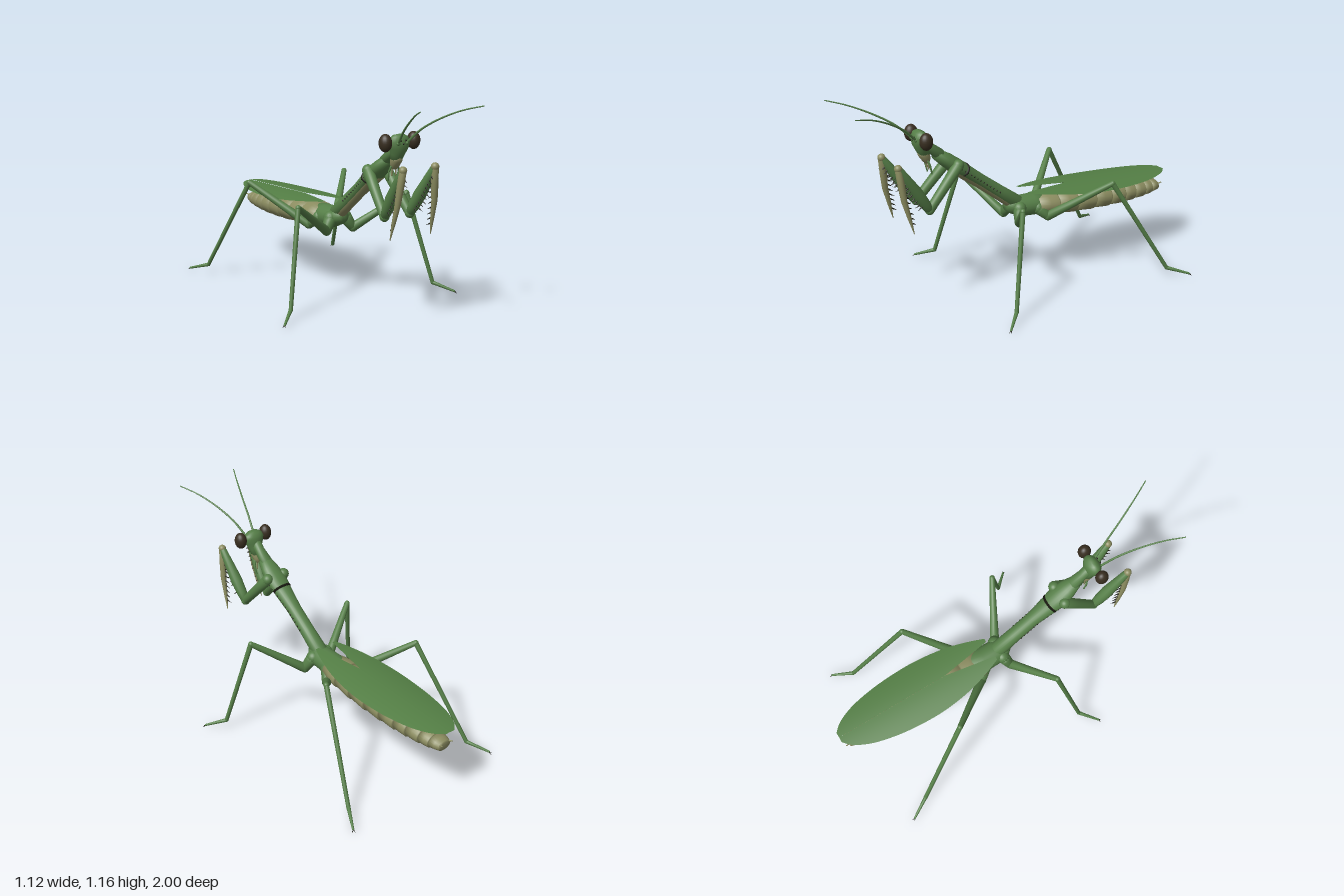
import * as THREE from 'three';

const mat = (name, color, side = THREE.FrontSide) => {
  const m = new THREE.MeshStandardMaterial({ color, side });
  m.name = name;
  return m;
};
const V = (x, y, z) => new THREE.Vector3(x, y, z);

export function createModel() {
  const root = new THREE.Group();
  root.name = 'mantis';
  const green = mat('leaf green', 0x567f48);
  const wingGreen = mat('wing green', 0x547f45, THREE.DoubleSide);
  const tan = mat('olive tan', 0x8b8c60);
  const eyeBrown = mat('eye brown', 0x382e20);
  const dark = mat('spine dark', 0x1f2015);

  const add = (name, geo, m, parent = root) => {
    const mesh = new THREE.Mesh(geo, m);
    mesh.name = name;
    parent.add(mesh);
    return mesh;
  };

  // Closed loft through elliptical rings: [x, y, z, rx, ry]
  const loft = (rings, n = 20, lift = 0) => {
    const pos = [], idx = [], c = rings.map(r => V(r[0], r[1], r[2]));
    const last = rings.length - 1;
    rings.forEach((r, i) => {
      const T = c[Math.min(i + 1, last)].clone().sub(c[Math.max(i - 1, 0)]).normalize();
      const S = V(1, 0, 0).addScaledVector(T, -T.x).normalize();
      const U = T.clone().cross(S);
      for (let j = 0; j < n; j++) {
        const a = j / n * Math.PI * 2;
        const p = c[i].clone().addScaledVector(S, r[3] * Math.cos(a))
          .addScaledVector(U, (r[4] ?? r[3]) * Math.sin(a) + lift);
        pos.push(p.x, p.y, p.z);
      }
    });
    for (let i = 0; i < last; i++) for (let j = 0; j < n; j++) {
      const a = i * n + j, b = i * n + (j + 1) % n;
      idx.push(a, b, b + n, a, b + n, a + n);
    }
    const k = pos.length / 3, o = last * n;
    pos.push(...c[0].toArray(), ...c[last].toArray());
    for (let j = 0; j < n; j++) {
      const q = (j + 1) % n;
      idx.push(k, q, j, k + 1, o + j, o + q);
    }
    const g = new THREE.BufferGeometry();
    g.setAttribute('position', new THREE.Float32BufferAttribute(pos, 3));
    g.setIndex(idx);
    g.computeVertexNormals();
    return g;
  };
  const ball = (name, p, r, m, parent) => {
    const b = add(name, new THREE.SphereGeometry(1, 20, 14), m, parent);
    b.position.copy(p);
    b.scale.set(...(Array.isArray(r) ? r : [r, r, r]));
    return b;
  };
  // Tapered limb with rounded joints at both ends
  const limb = (name, a, b, r0, r1, m, parent) => {
    const mid = a.clone().lerp(b, 0.35);
    add(name, loft([[...a, r0], [...mid, r0 * 0.6 + r1 * 0.4], [...b, r1]], 14), m, parent);
    ball(name + 'Joint', a, r0, m, parent);
    ball(name + 'Tip', b, r1, m, parent);
  };
  const spike = (name, p, dir, len, r, m, parent) => {
    const s = add(name, new THREE.ConeGeometry(r, len, 6), m, parent);
    dir = dir.clone().normalize();
    s.position.copy(p).addScaledVector(dir, len / 2);
    s.quaternion.setFromUnitVectors(V(0, 1, 0), dir);
  };

  // Thorax: long sloping neck shield with a pale underside
  const shield = [[-0.01, 0.045, 0.042], [0.1, 0.041, 0.038], [0.22, 0.041, 0.036], [0.31, 0.052, 0.039],
    [0.325, 0.053, 0.037], [0.34, 0.058, 0.041], [0.38, 0.062, 0.042], [0.43, 0.053, 0.038], [0.48, 0.036, 0.03]]
    .map(([z, rx, ry]) => [0, 0.465 + 0.77 * z, z, rx, ry]);
  add('prothorax', loft(shield, 24), green);
  add('prothoraxUnderside', loft(shield.slice(0, 7).map(r => [r[0], r[1], r[2], r[3] * 0.85, r[4] * 0.95]), 24, -0.008), tan);
  add('collarGroove', loft([0.32, 0.33].map(z => [0, 0.468 + 0.77 * z, z, 0.056, 0.04]), 24), dark);
  add('mesothorax', loft([[0, 0.46, 0.06, 0.03, 0.03], [0, 0.45, 0.03, 0.055, 0.045], [0, 0.435, -0.03, 0.068, 0.058],
    [0, 0.43, -0.1, 0.07, 0.06], [0, 0.425, -0.18, 0.075, 0.06]], 24), green);
  add('neck', loft([[0, 0.83, 0.46, 0.036, 0.03], [0, 0.88, 0.52, 0.028, 0.026], [0, 0.92, 0.56, 0.03, 0.03]]), green);

  // Abdomen: overlapping segments, each flaring to its rear edge
  const cuts = [-0.12, -0.24, -0.36, -0.48, -0.59, -0.69, -0.77, -0.85, -0.91, -0.97];
  const radius = z => 0.073 * Math.sqrt(Math.max(0.1, 1 - Math.pow((z + 0.45) / 0.56, 2)));
  const belly = z => 0.427 + 0.07 * (z + 0.12);
  for (let i = 0; i < cuts.length - 1; i++) {
    const a = cuts[i], b = cuts[i + 1], last = i === cuts.length - 2;
    add('abdomenSegment', loft([0, 0.5, 0.93, 1].map((t, k) => {
      const z = a + (b - a) * t, r = radius(z) * [0.95, 1, 1.03, last ? 0.7 : 0.96][k];
      return [0, belly(z), z, r * 1.48, r];
    }), 28), tan);
  }

  // Wings: two arched sheets parting towards the front
  const outline = new THREE.CatmullRomCurve3([[0.07, -0.05], [0.105, -0.14], [0.14, -0.26], [0.163, -0.42], [0.165, -0.55],
    [0.15, -0.72], [0.115, -0.87], [0.07, -0.96], [0.03, -1]].map(([x, z]) => V(x, 0, z)));
  for (const s of [1, -1]) {
    const g = new THREE.PlaneGeometry(1, 1, 10, 48), p = g.attributes.position;
    for (let i = 0; i < p.count; i++) {
      const e = outline.getPoint(0.5 - p.getY(i));
      const inner = Math.max(0, (e.z + 0.34) / 0.29 * 0.048);
      const x = inner + (e.x - inner) * (p.getX(i) + 0.5);
      p.setXYZ(i, s * x, 0.526 + 0.06 * (e.z + 0.05) - 0.8 * x * x + s * 0.001, e.z);
    }
    if (s > 0) g.index.array.reverse();
    g.computeVertexNormals();
    // Keep the sheet's outward faces pointing up
    if (g.attributes.normal.getY(60) < 0) { g.index.array.reverse(); g.computeVertexNormals(); }
    add(s > 0 ? 'leftWing' : 'rightWing', g, wingGreen);
  }

  // Head: wide crown tapering to a pale muzzle
  add('head', loft([[0, 0.845, 0.548, 0.03, 0.028], [0, 0.88, 0.56, 0.038, 0.034], [0, 0.915, 0.57, 0.054, 0.042],
    [0, 0.945, 0.573, 0.062, 0.04], [0, 0.965, 0.57, 0.052, 0.033], [0, 0.978, 0.565, 0.03, 0.018]], 24), green);
  add('muzzle', loft([[0, 0.8, 0.532, 0.014, 0.014], [0, 0.82, 0.538, 0.026, 0.024], [0, 0.85, 0.552, 0.032, 0.03],
    [0, 0.872, 0.562, 0.026, 0.028]], 20), tan);
  for (const [x, y] of [[0, 0.937], [0.015, 0.953], [-0.015, 0.953]])
    ball('ocellus', V(x, y, 0.611), 0.005, dark);

  for (const s of [1, -1]) {
    const side = new THREE.Group();
    side.name = s > 0 ? 'leftSide' : 'rightSide';
    root.add(side);
    const P = (x, y, z) => V(s * x, y, z);

    // Eye, antenna and mouth feelers
    ball('eye', P(0.086, 0.944, 0.578), [0.033, 0.046, 0.036], eyeBrown, side);
    const feeler = new THREE.CatmullRomCurve3([P(0.026, 0.94, 0.605), P(0.052, 1.015, 0.685),
      P(0.09, 1.08, 0.79), P(0.137, 1.13, 0.9), P(0.187, 1.16, 1)]);
    add('antenna', loft(feeler.getPoints(24).map((p, i) => [...p, 0.0065 - i * 0.00015]), 8), green, side);
    ball('antennaBase', P(0.026, 0.94, 0.605), 0.011, green, side);
    limb('palp', P(0.018, 0.82, 0.54), P(0.03, 0.785, 0.53), 0.006, 0.005, green, side);
    limb('palpEnd', P(0.03, 0.785, 0.53), P(0.026, 0.74, 0.52), 0.005, 0.004, green, side);
    limb('innerPalp', P(0.01, 0.81, 0.535), P(0.012, 0.765, 0.53), 0.005, 0.004, tan, side);

    // Tail feeler
    limb('cercus', P(0.025, 0.375, -0.94), P(0.036, 0.388, -0.985), 0.007, 0.003, tan, side);

    // Toothed edge of the shield
    for (let i = 0; i < 14; i++) {
      const z = 0.12 + i * 0.02;
      ball('shieldTooth', P(0.041 + Math.max(0, z - 0.24) * 0.14, 0.465 + 0.77 * z, z), 0.0045, dark, side);
    }

    // Grasping foreleg
    const shoulder = P(0.055, 0.77, 0.38), elbow = P(0.078, 0.565, 0.565);
    const wrist = P(0.097, 0.835, 0.745), bend = P(0.112, 0.66, 0.725), hook = P(0.124, 0.475, 0.68);
    limb('foreCoxa', shoulder, elbow, 0.031, 0.024, green, side);
    add('foreFemur', loft([0, 0.15, 0.4, 0.75, 1].map((t, i) =>
      [...elbow.clone().lerp(wrist, t), [0.022, 0.029, 0.033, 0.025, 0.019][i]]), 16), green, side);
    ball('elbow', elbow, 0.025, green, side);
    ball('wrist', wrist, 0.021, tan, side);
    add('foreTibia', loft([[...wrist, 0.019], [...wrist.clone().lerp(bend, 0.5), 0.019],
      [...bend, 0.016], [...bend.clone().lerp(hook, 0.55), 0.01], [...hook, 0.002]], 14), tan, side);
    for (let i = 0; i < 10; i++) {
      const t = 0.18 + i * 0.075;
      const f = elbow.clone().lerp(wrist, t).add(V(0, -0.012, 0.019));
      for (const d of [-0.012, 0.012])
        spike('femurSpine', f.clone().add(V(d, 0, 0)), V(d * 20, -0.5, 0.85), i % 2 ? 0.024 : 0.034, 0.005, dark, side);
      const q = wrist.clone().lerp(hook, 0.12 + i * 0.08).add(V(0, 0, -0.004));
      spike('tibiaSpine', q, V(-s * 0.3, -0.45, -0.85), 0.032, 0.005, dark, side);
    }

    // Walking legs: hip, knee, ankle, toe
    const legs = {
      middle: [P(0.045, 0.44, 0), P(0.085, 0.375, 0.025), P(0.345, 0.565, 0.165), P(0.455, 0.06, 0.27), P(0.54, 0.018, 0.355)],
      hind: [P(0.045, 0.42, -0.12), P(0.085, 0.375, -0.16), P(0.315, 0.59, -0.425), P(0.43, 0.055, -0.735), P(0.495, 0.018, -0.845)],
    };
    for (const [name, [root0, hip, knee, ankle, toe]] of Object.entries(legs)) {
      const leg = new THREE.Group();
      leg.name = name + 'Leg';
      side.add(leg);
      limb('coxa', root0, hip, 0.038, 0.026, green, leg);
      limb('femur', hip, knee, 0.026, 0.015, green, leg);
      limb('tibia', knee, ankle, 0.014, 0.011, green, leg);
      limb('tarsus', ankle, toe, 0.011, 0.006, green, leg);
      const out = toe.clone().sub(ankle).setY(0).normalize();
      for (const d of [-1, 1])
        spike('claw', toe, out.clone().add(V(-out.z * d * 0.5, -0.7, out.x * d * 0.5)), 0.022, 0.004, dark, leg);
    }
  }
  return root;
}
